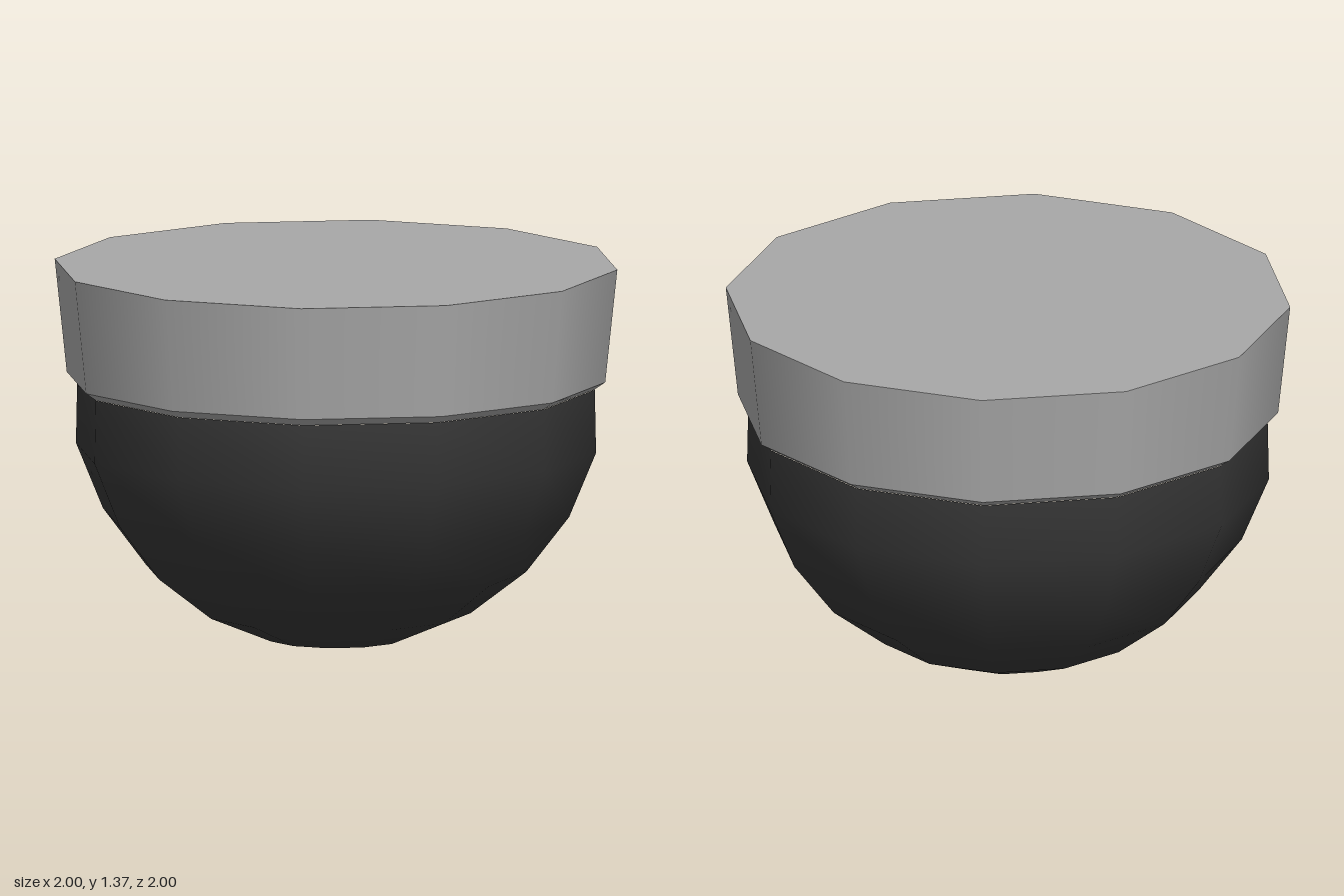
import * as THREE from 'three';

const SIDES = 12;

export function createModel() {
  const model = new THREE.Group();
  const grey = new THREE.MeshStandardMaterial({ name: 'grey', color: 0xa8a8a8 });
  const charcoal = new THREE.MeshStandardMaterial({ name: 'charcoal', color: 0x363636 });

  const add = (name, geometry, material) => {
    const mesh = new THREE.Mesh(geometry, material);
    mesh.name = name;
    model.add(mesh);
    return mesh;
  };
  // Twelve-sided turned surface; the profile runs from bottom to top
  const turned = (profile) =>
    new THREE.LatheGeometry(profile.map(([r, y]) => new THREE.Vector2(r, y)), SIDES);

  // Round bowl: 15 degree steps of a sphere, then a nearly upright collar
  const radius = 0.957;
  const bowl = [];
  for (let i = 0; i <= 5; i++) {
    const a = (i * Math.PI) / 12;
    bowl.push([radius * Math.sin(a), 0.962 - radius * Math.cos(a) - 0.005]);
  }
  bowl.push([0.92, 0.935]);
  add('bowl', turned(bowl), charcoal);

  // Flared band with a small chamfer beneath it and a flat lid
  add('bandChamfer', turned([[0.918, 0.935], [0.957, 0.962]]), grey);
  add('band', turned([[0.957, 0.962], [1, 1.365]]), grey);
  const lid = add('lid', new THREE.CircleGeometry(1, SIDES), grey);
  lid.rotation.x = -Math.PI / 2;
  lid.position.y = 1.365;

  return model;
}
